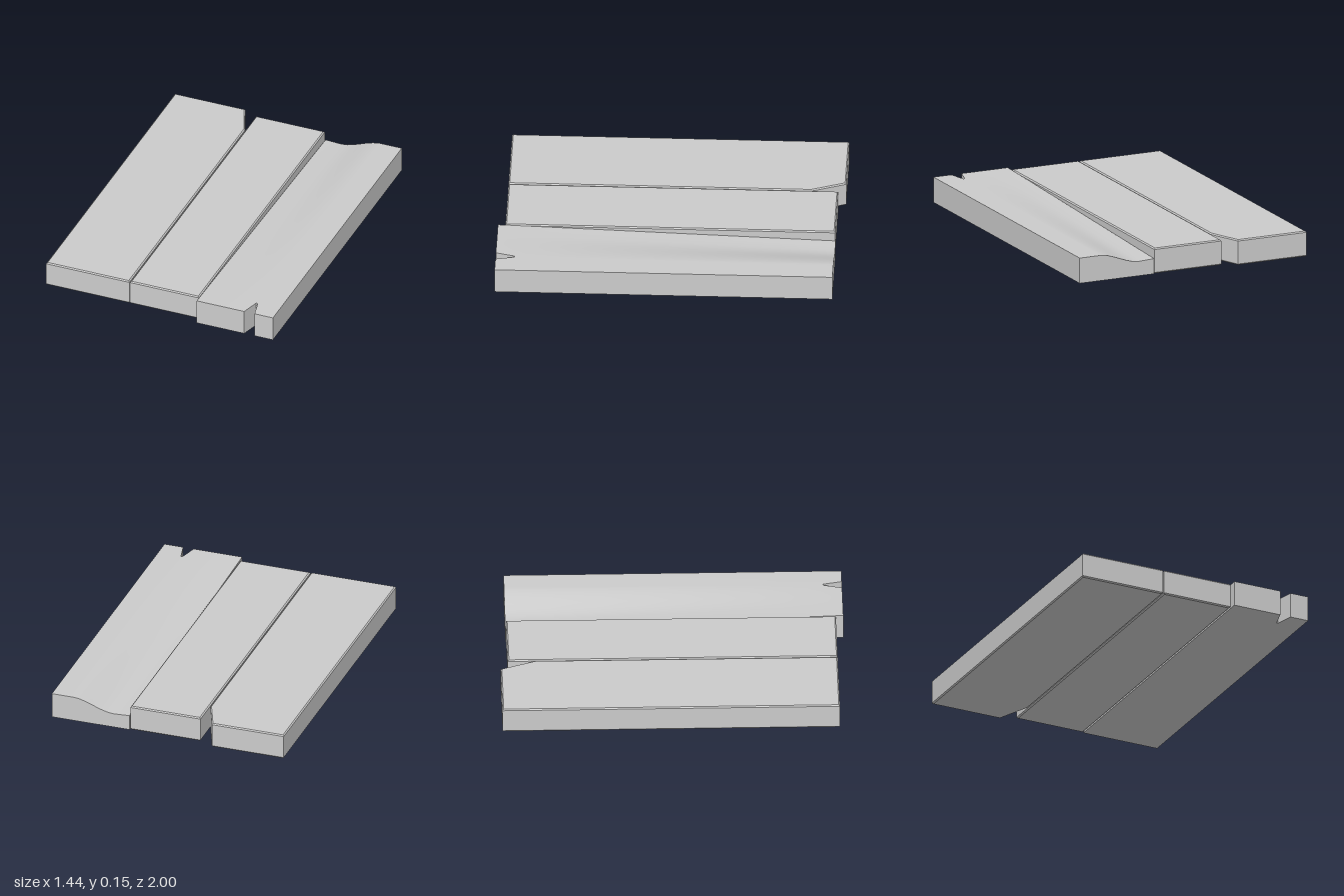
import * as THREE from 'three';
import { toCreasedNormals } from 'three/addons/utils/BufferGeometryUtils.js';

const H = 0.152; // plank thickness
const material = new THREE.MeshStandardMaterial({ color: 0xcccccc, side: THREE.DoubleSide });

// Flat plank with small chamfers, from its [x, z] outline
function plank(name, outline) {
  const b = 0.007;
  const shape = new THREE.Shape(outline.map(([x, z]) => new THREE.Vector2(x, -z)));
  const geo = new THREE.ExtrudeGeometry(shape, {
    depth: H - 2 * b, bevelThickness: b, bevelSize: b, bevelOffset: -b, bevelSegments: 1,
  });
  geo.rotateX(-Math.PI / 2).translate(0, b, 0);
  const mesh = new THREE.Mesh(geo, material);
  mesh.name = name;
  return mesh;
}

// Plank whose top wears down toward the back, with a split in its front end
function wornPlank() {
  const back = -0.96, rows = 8;
  // columns across the width: [x, z of the front end]
  const columns = [
    [0.242, 1], [0.29, 1], [0.34, 1], [0.38, 1], [0.42, 1], [0.46, 1], [0.5, 1],
    [0.54, 1], [0.57, 0.89], [0.58, 0.89], [0.605, 1], [0.72, 1],
  ];
  const topY = (x, z) => {
    const depth = x < 0.34
      ? 0.065 - 0.05 * (0.34 - x)
      : 0.065 * (1 - THREE.MathUtils.smoothstep(x, 0.34, 0.59));
    return H - depth * (1 - z) / 1.96;
  };
  const n = rows + 3, pos = [], idx = [];
  for (const [x, front] of columns) {
    pos.push(x, 0, front, x, 0, back);
    for (let r = 0; r <= rows; r++) {
      const z = back + (front - back) * r / rows;
      pos.push(x, topY(x, z), z);
    }
  }
  for (let i = 0; i < columns.length - 1; i++) {
    for (let k = 0; k < n; k++) {
      const a = i * n + k, b = i * n + (k + 1) % n;
      idx.push(a, b, a + n, b, b + n, a + n);
    }
  }
  // long side walls
  const last = (columns.length - 1) * n;
  for (let k = 1; k < n - 1; k++) {
    idx.push(0, k + 1, k, last, last + k, last + k + 1);
  }
  const geo = new THREE.BufferGeometry();
  geo.setAttribute('position', new THREE.Float32BufferAttribute(pos, 3));
  geo.setIndex(idx);
  const mesh = new THREE.Mesh(toCreasedNormals(geo, 0.5), material);
  mesh.name = 'wornPlank';
  return mesh;
}

export function createModel() {
  const group = new THREE.Group();
  group.name = 'planks';
  group.add(
    plank('cutCornerPlank', [[-0.72, 0.957], [-0.198, 0.957], [-0.198, -0.8], [-0.278, -1], [-0.72, -1]]),
    plank('middlePlank', [[-0.193, 0.957], [0.238, 0.957], [0.238, -0.957], [-0.193, -0.957]]),
    wornPlank(),
  );
  return group;
}
